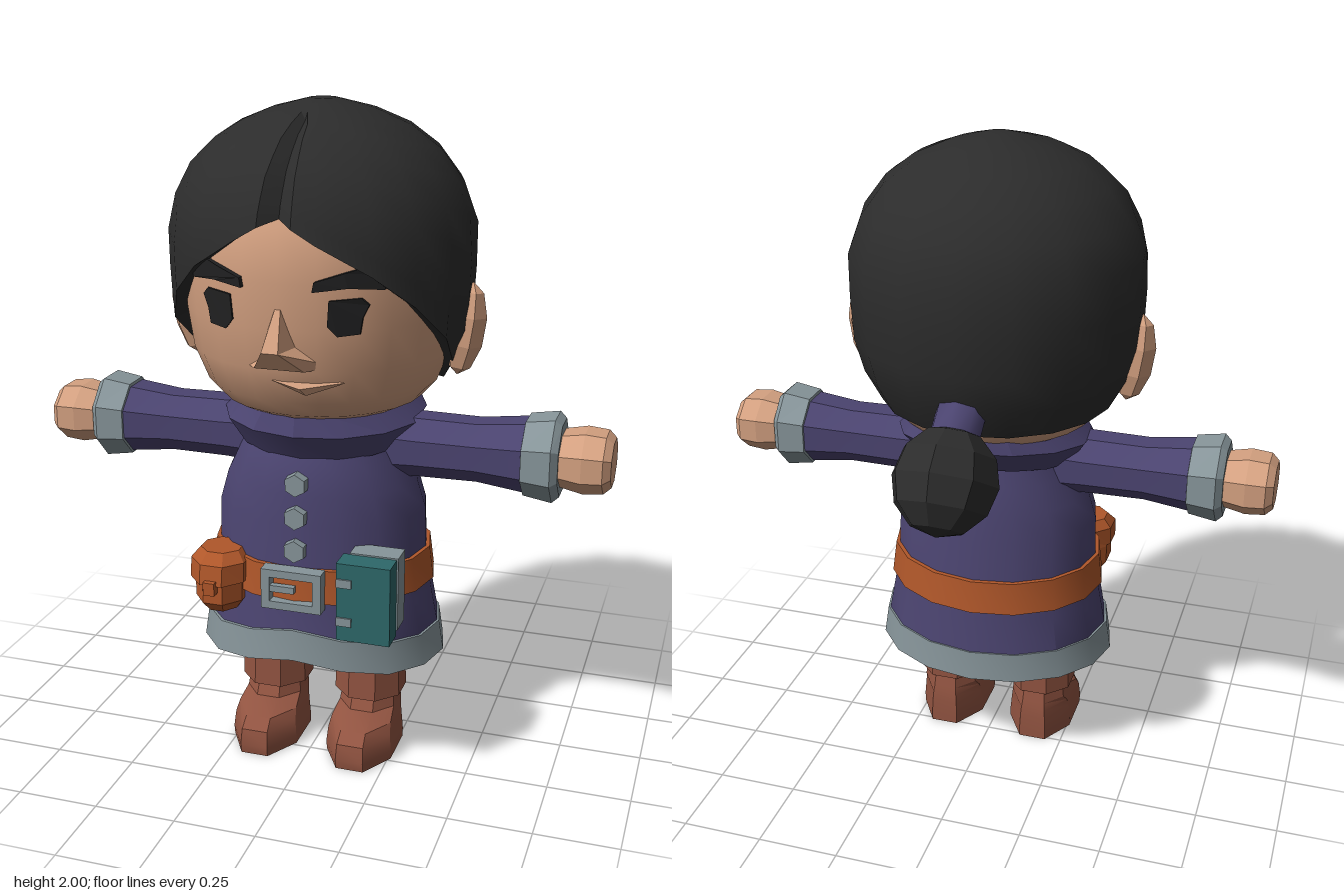
import * as THREE from 'three';
import { toCreasedNormals } from 'three/addons/utils/BufferGeometryUtils.js';

const mat = (name, color) => {
  const m = new THREE.MeshStandardMaterial({ color });
  m.name = name;
  return m;
};
const lerpTable = (table, v) => {
  for (let i = 0; i < table.length - 1; i++) {
    const [a, fa] = table[i], [b, fb] = table[i + 1];
    if (v <= b) return fa + (fb - fa) * Math.max(0, (v - a) / (b - a));
  }
  return table[table.length - 1][1];
};

// Skin a stack of equal rings, listed from top to bottom, closing both ends if asked
function loft(rows, capTop = true, capBottom = true, crease = 0.7) {
  const n = rows[0].length, pos = [], idx = [];
  rows.forEach(r => r.forEach(p => pos.push(...p)));
  for (let r = 0; r < rows.length - 1; r++) for (let i = 0; i < n; i++) {
    const j = (i + 1) % n, a = r * n + i, b = r * n + j, c = a + n, d = b + n;
    idx.push(a, c, d, a, d, b);
  }
  const cap = (row, start, top) => {
    const c = pos.length / 3;
    pos.push(...[0, 1, 2].map(k => row.reduce((s, p) => s + p[k], 0) / n));
    for (let i = 0; i < n; i++) {
      const a = start + i, b = start + (i + 1) % n;
      top ? idx.push(c, a, b) : idx.push(c, b, a);
    }
  };
  if (capTop) cap(rows[0], 0, true);
  if (capBottom) cap(rows[rows.length - 1], (rows.length - 1) * n, false);
  const g = new THREE.BufferGeometry();
  g.setAttribute('position', new THREE.Float32BufferAttribute(pos, 3));
  g.setIndex(idx);
  return toCreasedNormals(g, crease);
}

// Elliptical ring: height, half width, front z, back z. Blocky rings have flat sides.
function ring([y, rx, f, b], n, { blocky = false, warp = () => 0 } = {}) {
  const k = blocky ? 1 / Math.cos(Math.PI / n) : 1, out = [];
  for (let i = 0; i < n; i++) {
    const a = (i + (blocky ? 0.5 : 0)) / n * Math.PI * 2;
    const x = Math.sin(a) * rx * k, z = (f + b) / 2 + Math.cos(a) * (f - b) / 2 * k;
    out.push([x, y + warp(x, z), z]);
  }
  return out;
}
const rings = (list, n, opt) => list.map(r => ring(r, n, opt));

export function createModel() {
  const hair = mat('hairBlack', 0x2c2c2c), ink = mat('eyeBlack', 0x212122), skin = mat('skin', 0xd3a080);
  const cloth = mat('purpleCloth', 0x4b4470), trim = mat('greyTrim', 0x87959a), leather = mat('orangeLeather', 0xb0572a);
  const boot = mat('brownBoot', 0x925441), teal = mat('tealCover', 0x2e686a);
  const root = new THREE.Group();
  const add = (name, geo, material, x = 0, y = 0, z = 0) => {
    const m = new THREE.Mesh(geo, material);
    m.name = name;
    m.position.set(x, y, z);
    root.add(m);
    return m;
  };
  const box = (name, material, w, h, d, x, y, z) => add(name, new THREE.BoxGeometry(w, h, d), material, x, y, z);

  // Head
  const CZ = 0.1;
  const headR = [[1.12, 0.24], [1.15, 0.3], [1.2, 0.345], [1.3, 0.385], [1.42, 0.402], [1.55, 0.41], [1.7, 0.4], [1.85, 0.28]];
  const faceZ = (x, y) => CZ + Math.sqrt(lerpTable(headR, y) ** 2 - x * x);
  add('head', loft(rings(headR.map(([y, r]) => [y, r, CZ + r, CZ - r]).reverse(), 24)), skin);

  // Hair cap with a slanted hairline and a parting groove in front
  const hairR = [[1.2, 0.36], [1.28, 0.405], [1.36, 0.437], [1.5, 0.446], [1.66, 0.448], [1.75, 0.42], [1.83, 0.375],
    [1.91, 0.29], [1.965, 0.18], [2, 0.04]];
  const hairline = [[0, 1.72], [0.12, 1.7], [0.25, 1.665], [0.6, 1.575], [0.9, 1.48], [1.2, 1.37], [1.5, 1.27], [1.68, 1.2]];
  const half = [0.11, 0.26, 0.6, 0.9, 1.2, 1.5, 1.68, 2.05, 2.4, 2.77];
  const angles = [0, ...half, Math.PI, ...half.map(a => 2 * Math.PI - a).reverse()];
  const levels = [0, 0.035, 0.09, 0.17, 0.28, 0.42, 0.58, 0.75, 0.88, 1];
  const hairRow = (t, inset = 1, up = 0) => angles.map(a => {
    const y = 2 + (lerpTable(hairline, Math.min(a, 2 * Math.PI - a)) - 2) * t;
    const groove = a === 0 && t > 0.09 ? 0.045 : 0;
    const r = (lerpTable(hairR, y) - groove) * inset;
    return [Math.sin(a) * r, y + up, CZ + Math.cos(a) * r];
  });
  add('hair', loft([...levels.map(t => hairRow(t)), hairRow(1, 0.88, 0.01)], true, false, 0.6), hair);

  // Bun and its tie
  const tie = add('hairTie', toCreasedNormals(new THREE.CylinderGeometry(0.075, 0.075, 0.13, 8), 0.9), cloth, 0, 1.245, -0.31);
  tie.rotation.x = Math.PI / 2 - 0.68;
  add('hairBun', toCreasedNormals(new THREE.SphereGeometry(0.16, 8, 6), 0.01), hair, 0, 1.13, -0.42).rotation.x = 0.6;

  // Face plates bent onto the head
  const facePlate = (name, pts, s, base, depth) => {
    const shape = new THREE.Shape(pts.map(([x, y]) => new THREE.Vector2(x * s, y)));
    const g = new THREE.ExtrudeGeometry(shape, { depth, bevelEnabled: false });
    const p = g.attributes.position;
    for (let i = 0; i < p.count; i++) p.setZ(i, p.getZ(i) + base + faceZ(p.getX(i), p.getY(i)));
    g.computeVertexNormals();
    add(name, g, ink);
  };
  for (const s of [1, -1]) {
    facePlate('eye', [[0.14, 1.51], [0.135, 1.44], [0.16, 1.41], [0.215, 1.415], [0.222, 1.46], [0.238, 1.495], [0.22, 1.515]], s, 0.004, 0.009);
    facePlate('eyebrow', [[0.1, 1.535], [0.105, 1.562], [0.18, 1.585], [0.25, 1.605], [0.285, 1.575], [0.275, 1.535], [0.19, 1.545]], s, -0.005, 0.026);
    const ear = add('ear', toCreasedNormals(new THREE.SphereGeometry(1, 6, 5), 0.01), skin, s * 0.425, 1.36, 0.095);
    ear.scale.set(0.06, 0.14, 0.055);
    ear.rotation.z = -s * 0.15;
  }

  // Nose and mouth
  const noseRows = [[1.48, 0.008, 0.505], [1.375, 0.024, 0.575], [1.31, 0.072, 0.5]]
    .map(([y, w, z]) => [[-w, y, z], [w, y, z], [w * 1.7 + 0.02, y, 0.42], [-w * 1.7 - 0.02, y, 0.42]]);
  add('nose', loft(noseRows, true, true, 0.01), skin);
  const lip = [[[-0.03, 1.272, 0.475], [0.06, 1.262, 0.505], [0.17, 1.272, 0.44], [0.07, 1.275, 0.42]],
    [[-0.02, 1.265, 0.46], [0.07, 1.238, 0.48], [0.15, 1.262, 0.44], [0.07, 1.24, 0.42]]];
  add('mouth', loft(lip, true, true, 0.01), skin);

  // Coat, hem and collar
  const hemLift = (x, z) => z > 0.15 ? 0.055 * Math.max(0, 1 - Math.abs(x) / 0.3) : 0;
  add('coat', loft([
    ...rings([[1.03, 0.23, 0.32, -0.11], [0.97, 0.255, 0.35, -0.13], [0.89, 0.295, 0.362, -0.145], [0.8, 0.322, 0.37, -0.157],
      [0.65, 0.326, 0.382, -0.177], [0.54, 0.343, 0.392, -0.19]], 16),
    ...rings([[0.42, 0.366, 0.402, -0.203], [0.39, 0.35, 0.38, -0.18]], 16, { warp: hemLift })]), cloth);
  add('coatHem', loft(rings([[0.43, 0.355, 0.39, -0.19], [0.43, 0.371, 0.41, -0.207], [0.335, 0.386, 0.416, -0.213],
    [0.335, 0.355, 0.385, -0.18], [0.4, 0.34, 0.37, -0.165]], 16, { warp: hemLift }), false, false), trim);
  add('collar', loft(rings([[1.07, 0.2, 0.32, -0.15], [1.135, 0.25, 0.375, -0.215], [1.08, 0.305, 0.39, -0.225], [1, 0.25, 0.335, -0.13]],
    14, { warp: (x, z) => z < 0.1 ? (0.1 - z) * 0.15 : 0 }), true, true, 0.4), cloth);
  for (const y of [0.93, 0.83, 0.73]) {
    const b = add('button', toCreasedNormals(new THREE.CylinderGeometry(0.034, 0.036, 0.03, 6), 0.01), trim, 0, y, 0.435 - y * 0.075);
    b.rotation.x = Math.PI / 2;
  }

  // Belt and buckle
  add('belt', loft(rings([[0.675, 0.31, 0.36, -0.16], [0.675, 0.337, 0.396, -0.188], [0.572, 0.35, 0.404, -0.2],
    [0.572, 0.32, 0.37, -0.17]], 16), false, false), leather);
  const frame = new THREE.Shape([[-0.092, -0.062], [0.092, -0.062], [0.092, 0.062], [-0.092, 0.062]].map(p => new THREE.Vector2(...p)));
  frame.holes.push(new THREE.Path([[-0.066, -0.038], [-0.066, 0.038], [0.066, 0.038], [0.066, -0.038]].map(p => new THREE.Vector2(...p))));
  add('buckle', new THREE.ExtrudeGeometry(frame, { depth: 0.045, bevelEnabled: false }), trim, 0, 0.617, 0.38);
  box('bucklePin', trim, 0.075, 0.02, 0.02, -0.03, 0.617, 0.41);

  // Pouch
  const pouch = (name, list) => add(name, loft(rings(list, 8, { blocky: true }), true, true, 0.01), leather, -0.248);
  pouch('pouch', [[0.67, 0.07, 0.4, 0.25], [0.6, 0.074, 0.42, 0.24], [0.54, 0.074, 0.42, 0.24], [0.505, 0.05, 0.39, 0.26]]);
  pouch('pouchFlap', [[0.695, 0.06, 0.39, 0.27], [0.665, 0.084, 0.425, 0.25], [0.605, 0.084, 0.435, 0.25]]);
  box('pouchClasp', leather, 0.035, 0.04, 0.03, -0.248, 0.6, 0.435);

  // Book hanging on the belt
  box('bookCover', teal, 0.16, 0.24, 0.075, 0.228, 0.62, 0.417);
  box('bookPages', trim, 0.145, 0.225, 0.075, 0.24, 0.632, 0.345);
  for (const y of [0.56, 0.68]) box('bookBand', trim, 0.045, 0.026, 0.006, 0.172, y, 0.457);

  // Arms, cuffs and hands: built upright, then turned outward
  for (const s of [1, -1]) {
    const limb = (name, list, n, material, crease) => {
      const rows = rings(list.map(([y, h, d]) => [y, h, d, -d]), n, { blocky: n === 8 });
      add(name, loft(rows, true, true, crease).rotateZ(-s * Math.PI / 2), material, 0, 1, 0.1);
    };
    limb('sleeve', [[0.63, 0.105, 0.108], [0.48, 0.088, 0.095], [0.3, 0.09, 0.098], [0.18, 0.1, 0.1]], 8, cloth, 0.4);
    limb('cuff', [[0.725, 0.108, 0.1], [0.705, 0.125, 0.12], [0.62, 0.112, 0.113], [0.615, 0.09, 0.09]], 8, trim, 0.01);
    limb('hand', [[0.872, 0.066, 0.078], [0.85, 0.085, 0.1], [0.79, 0.09, 0.105], [0.71, 0.075, 0.09]], 8, skin, 0.01);
  }

  // Legs and boots
  for (const s of [1, -1]) {
    const part = (name, list, material) => add(name, loft(rings(list, 8, { blocky: true }), true, true, 0.45), material, s * 0.155);
    part('trouserLeg', [[0.5, 0.085, 0.19, 0.02], [0.28, 0.085, 0.19, 0.02]], cloth);
    part('bootCuff', [[0.3, 0.1, 0.205, 0], [0.175, 0.104, 0.21, -0.002], [0.165, 0.085, 0.19, 0.012]], boot);
    part('bootFoot', [[0.18, 0.083, 0.19, 0.01], [0.135, 0.088, 0.21, 0], [0.11, 0.095, 0.3, -0.005], [0.08, 0.1, 0.335, -0.008],
      [0.03, 0.105, 0.345, -0.01], [0, 0.104, 0.34, -0.01]], boot);
  }
  return root;
}
